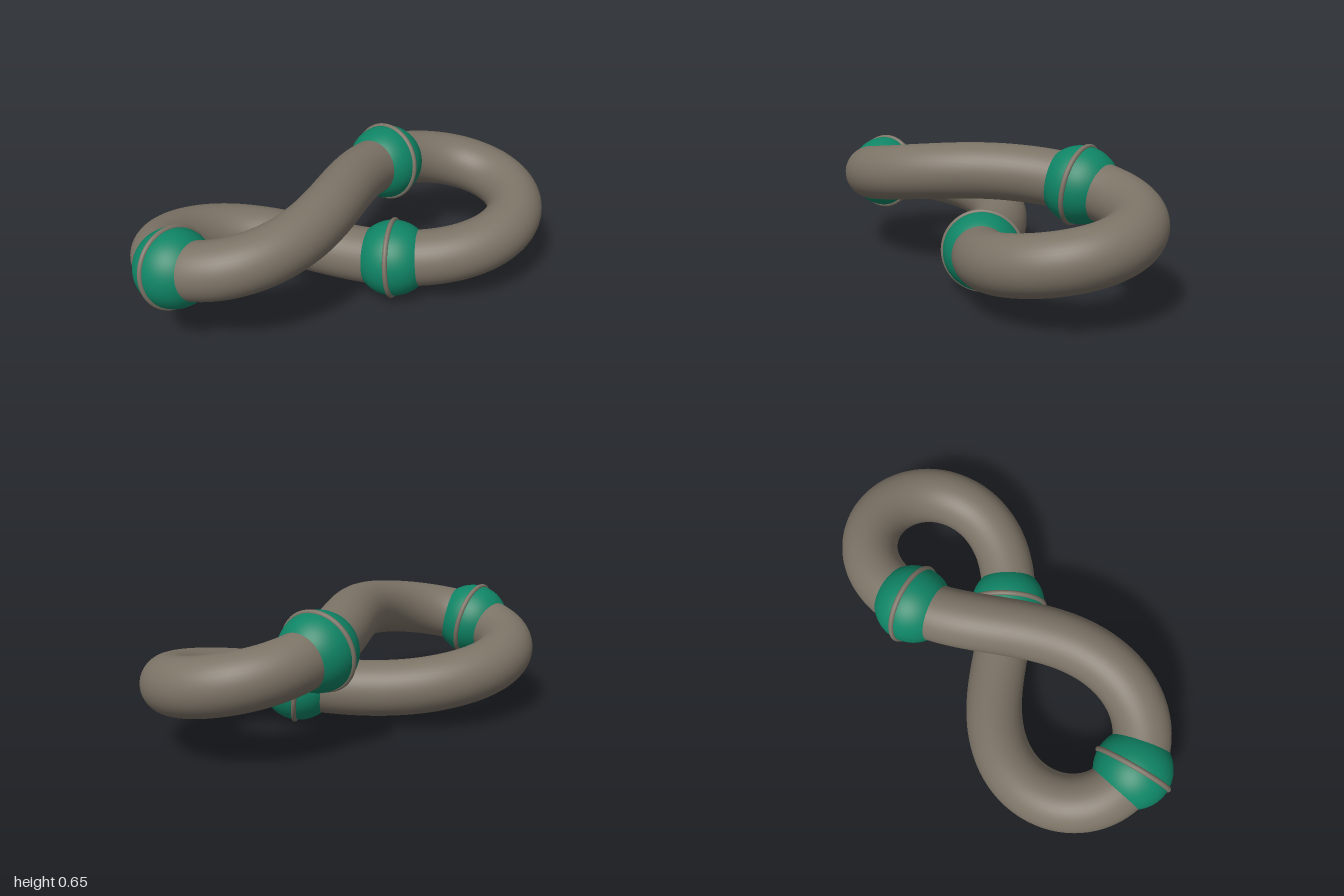
import * as THREE from 'three';

const SIZE = 0.866, MID = 0.338, LIFT = 0.162;
const TUBE_R = 0.13, BEAD_R = 0.177;

// Lemniscate whose two strands pass over and under each other
class KnotPath extends THREE.Curve {
  getPoint(u, target = new THREE.Vector3()) {
    const t = u * Math.PI * 2;
    const s = Math.sin(t), c = Math.cos(t);
    const x = SIZE * c / (1 + s * s);
    return target.set(x, MID - LIFT * s, x * s);
  }
}

export function createModel() {
  const group = new THREE.Group();
  const stone = new THREE.MeshStandardMaterial({ color: 0x7c7366 });
  stone.name = 'warm grey';
  const green = new THREE.MeshStandardMaterial({ color: 0x0f8465 });
  green.name = 'green';

  const add = (parent, name, geometry, material) => {
    const mesh = new THREE.Mesh(geometry, material);
    mesh.name = name;
    parent.add(mesh);
    return mesh;
  };

  // Endless figure-eight band
  const path = new KnotPath();
  add(group, 'band', new THREE.TubeGeometry(path, 240, TUBE_R, 40, true), stone);

  // Three beads, evenly spaced, each with a thin raised ring around its middle
  const ball = new THREE.SphereGeometry(BEAD_R, 48, 32).rotateX(Math.PI / 2);
  const hoop = new THREE.TorusGeometry(BEAD_R - 0.001, 0.012, 12, 64);
  const forward = new THREE.Vector3(0, 0, 1);
  [68, 188, 308].forEach((deg, i) => {
    const t = deg * Math.PI / 180, s = Math.sin(t), c = Math.cos(t);
    const d = 1 + s * s;
    const dx = SIZE * (-s * d - 2 * s * c * c) / (d * d);
    const x = SIZE * c / d;
    const tangent = new THREE.Vector3(dx, -LIFT * c, dx * s + x * c).normalize();
    const bead = new THREE.Group();
    bead.name = `bead${i + 1}`;
    bead.position.copy(path.getPoint(deg / 360));
    bead.quaternion.setFromUnitVectors(forward, tangent);
    add(bead, 'beadBall', ball, green);
    add(bead, 'beadRing', hoop, stone);
    group.add(bead);
  });
  return group;
}
